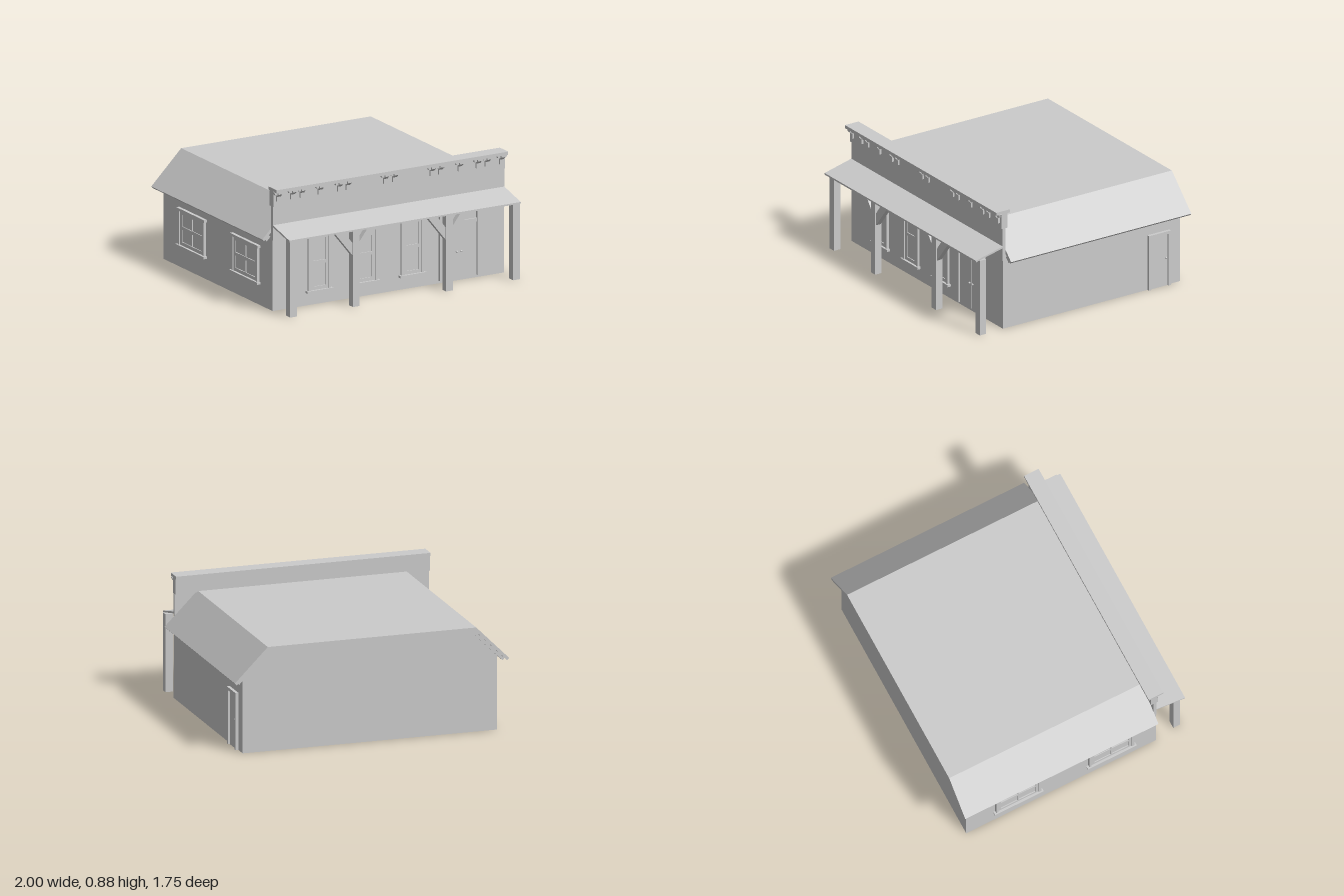
import * as THREE from 'three';

const mat = new THREE.MeshStandardMaterial({ color: 0xcccccc, flatShading: true });
const sheet = new THREE.MeshStandardMaterial({ color: 0xcccccc, flatShading: true, side: THREE.DoubleSide });

const WALL = 0.928, FRONT = 0.65, BACK = -0.83;

function add(parent, name, geometry, material = mat) {
  const mesh = new THREE.Mesh(geometry, material);
  mesh.name = name;
  parent.add(mesh);
  return mesh;
}

// Box given by its limits along each axis
function box(parent, name, x0, x1, y0, y1, z0, z1) {
  const mesh = add(parent, name, new THREE.BoxGeometry(x1 - x0, y1 - y0, z1 - z0));
  mesh.position.set((x0 + x1) / 2, (y0 + y1) / 2, (z0 + z1) / 2);
  return mesh;
}

const shapeOf = (pts) => new THREE.Shape(pts.map(([x, y]) => new THREE.Vector2(x, y)));

// Outline in x, y pushed out from z0 to z1
function slab(parent, name, pts, z0, z1) {
  const geo = new THREE.ExtrudeGeometry(shapeOf(pts), { depth: z1 - z0, bevelEnabled: false });
  return add(parent, name, geo.translate(0, 0, z0));
}

// Outline in z, y pushed along x from x0 to x1
function bar(parent, name, pts, x0, x1) {
  const geo = new THREE.ExtrudeGeometry(shapeOf(pts.map(([z, y]) => [-z, y])), { depth: x1 - x0, bevelEnabled: false });
  return add(parent, name, geo.rotateY(Math.PI / 2).translate(x0, 0, 0));
}

const mirrored = (half) => [...half, ...half.slice().reverse().map(([x, y]) => [-x, y])];

// Sash window facing +z, standing on its sill, set through the wall plane
function makeWindow(name, w, h, mullion) {
  const g = new THREE.Group();
  g.name = name;
  const a = w / 2, t = 0.018, mid = h / 2;
  box(g, 'windowSill', -a - 0.015, a + 0.015, 0, 0.016, -0.012, 0.028);
  box(g, 'windowHead', -a - 0.012, a + 0.012, h - 0.018, h, -0.012, 0.024);
  for (const s of [-1, 1]) {
    const x = s * (a - t / 2);
    box(g, 'windowJamb', x - t / 2, x + t / 2, 0.016, h - 0.018, -0.01, 0.018);
    const sx = s * (a - t - 0.012);
    box(g, 'sashStile', sx - 0.012, sx + 0.012, 0.016, h - 0.018, -0.007, 0.011);
  }
  for (const y of [0.028, mid, h - 0.03]) box(g, 'sashRail', -a + t, a - t, y - 0.012, y + 0.012, -0.007, 0.011);
  if (mullion) box(g, 'mullion', -0.006, 0.006, 0.016, h - 0.018, -0.007, 0.01);
  box(g, 'glass', -a + t, a - t, 0.016, h - 0.018, -0.004, 0.004);
  return g;
}

// Door frame and leaves facing +z
function makeDoor(name, w, h, bottom, leaves, leafTop, t) {
  const g = new THREE.Group();
  g.name = name;
  const a = w / 2;
  for (const s of [-1, 1]) {
    const x = s * (a - t / 2);
    box(g, 'doorJamb', x - t / 2, x + t / 2, bottom, h, -0.01, 0.02);
  }
  box(g, 'doorHead', -a, a, h - t, h, -0.01, 0.022);
  const lw = (w - 2 * t) / leaves;
  for (let i = 0; i < leaves; i++) {
    const x = -a + t + i * lw;
    box(g, 'doorLeaf', x + 0.001, x + lw - 0.001, bottom, leafTop, -0.006, 0.008);
  }
  const knobs = leaves === 2 ? [-0.018, 0.018] : [a - t - 0.016];
  for (const x of knobs) {
    const knob = add(g, 'doorKnob', new THREE.SphereGeometry(0.008, 10, 8));
    knob.position.set(x, 0.21, 0.015);
  }
  return g;
}

export function createModel() {
  const model = new THREE.Group();
  model.name = 'storefront';

  // Wall shell, open below
  const gable = mirrored([[WALL, 0], [WALL, 0.56], [0.75, 0.74]]);
  for (const [name, z] of [['frontWall', FRONT], ['backWall', BACK]])
    add(model, name, new THREE.ShapeGeometry(shapeOf(gable)), sheet).position.z = z;
  for (const s of [-1, 1]) {
    const wall = add(model, s > 0 ? 'leftWall' : 'rightWall', new THREE.PlaneGeometry(FRONT - BACK, 0.56), sheet);
    wall.rotation.y = s * Math.PI / 2;
    wall.position.set(s * WALL, 0.28, (FRONT + BACK) / 2);
  }

  // Flat-topped roof with sloped sides, and the trim beneath its edges
  const roof = [[1, 0.52], [0.76, 0.76], [-0.76, 0.76], [-1, 0.52],
    [-0.985, 0.505], [-0.75, 0.738], [0.75, 0.738], [0.985, 0.505]];
  slab(model, 'roof', roof, -0.875, 0.63);
  const rake = [[0.975, 0.515], [0.75, 0.74], [-0.75, 0.74], [-0.975, 0.515],
    [-0.96, 0.5], [-0.74, 0.715], [0.74, 0.715], [0.96, 0.5]];
  slab(model, 'rakeTrim', rake, -0.85, BACK);
  for (const s of [-1, 1]) {
    const pts = [[0.975, 0.515], [0.945, 0.545], [0.93, 0.53], [0.96, 0.5]].map(([x, y]) => [s * x, y]);
    slab(model, 'eaveTrim', pts, BACK, 0.625);
  }

  // Parapet and cornice
  box(model, 'parapet', -WALL, WALL, 0.51, 0.75, 0.628, 0.652);
  box(model, 'parapetFrieze', -WALL, WALL, 0.75, 0.86, 0.61, 0.662);
  box(model, 'cornice', -WALL, WALL, 0.86, 0.883, 0.592, 0.705);
  for (const c of [0.037, 0.337, 0.406, 0.56, 0.706, 0.78, 0.893]) {
    for (const x of [-c, c]) {
      bar(model, 'corniceBracket', [[0.66, 0.79], [0.676, 0.79], [0.676, 0.825], [0.698, 0.845], [0.698, 0.862], [0.66, 0.862]], x - 0.015, x + 0.015);
      const tab = [[-0.032, 0.838], [0.032, 0.838], [0.042, 0.862], [-0.042, 0.862]];
      slab(model, 'scallopTab', tab.map(([dx, y]) => [x + dx, y]), 0.66, 0.684);
    }
  }

  // Porch roof
  bar(model, 'porchRoof', [[0.645, 0.606], [0.875, 0.552], [0.875, 0.564], [0.645, 0.62]], -WALL, WALL);

  // Porch posts, with forked braces on the inner pair
  for (const [x, braced] of [[-0.878, false], [-0.374, true], [0.373, true], [0.91, false]]) {
    box(model, 'porchPost', x - 0.027, x + 0.027, 0, 0.56, 0.795, 0.848);
    if (!braced) continue;
    for (const s of [-1, 1]) {
      const pts = [[0.02, 0.37], [0.027, 0.37], [0.175, 0.555], [0.1, 0.555], [0.02, 0.45]];
      slab(model, 'postBrace', pts.map(([dx, y]) => [x + s * dx, y]), 0.802, 0.841);
    }
  }

  // Front windows
  for (const x of [-0.56, -0.185, 0.185]) {
    const win = makeWindow('frontWindow', 0.18, 0.425, false);
    win.position.set(x, 0.09, FRONT);
    model.add(win);
  }

  // Double front door with transom light
  const door = makeDoor('frontDoor', 0.315, 0.53, 0.02, 2, 0.405, 0.014);
  box(door, 'transomBar', -0.144, 0.144, 0.405, 0.43, -0.008, 0.014);
  box(door, 'transomGlass', -0.144, 0.144, 0.43, 0.516, -0.004, 0.004);
  door.position.set(0.558, 0, FRONT);
  model.add(door);

  // Side door
  const sideDoor = makeDoor('sideDoor', 0.185, 0.41, 0, 1, 0.39, 0.022);
  sideDoor.rotation.y = Math.PI / 2;
  sideDoor.position.set(WALL, 0, -0.648);
  model.add(sideDoor);

  // Side windows
  for (const z of [-0.43, 0.295]) {
    const win = makeWindow('sideWindow', 0.35, 0.28, true);
    win.rotation.y = -Math.PI / 2;
    win.position.set(-WALL, 0.15, z);
    model.add(win);
  }
  return model;
}
